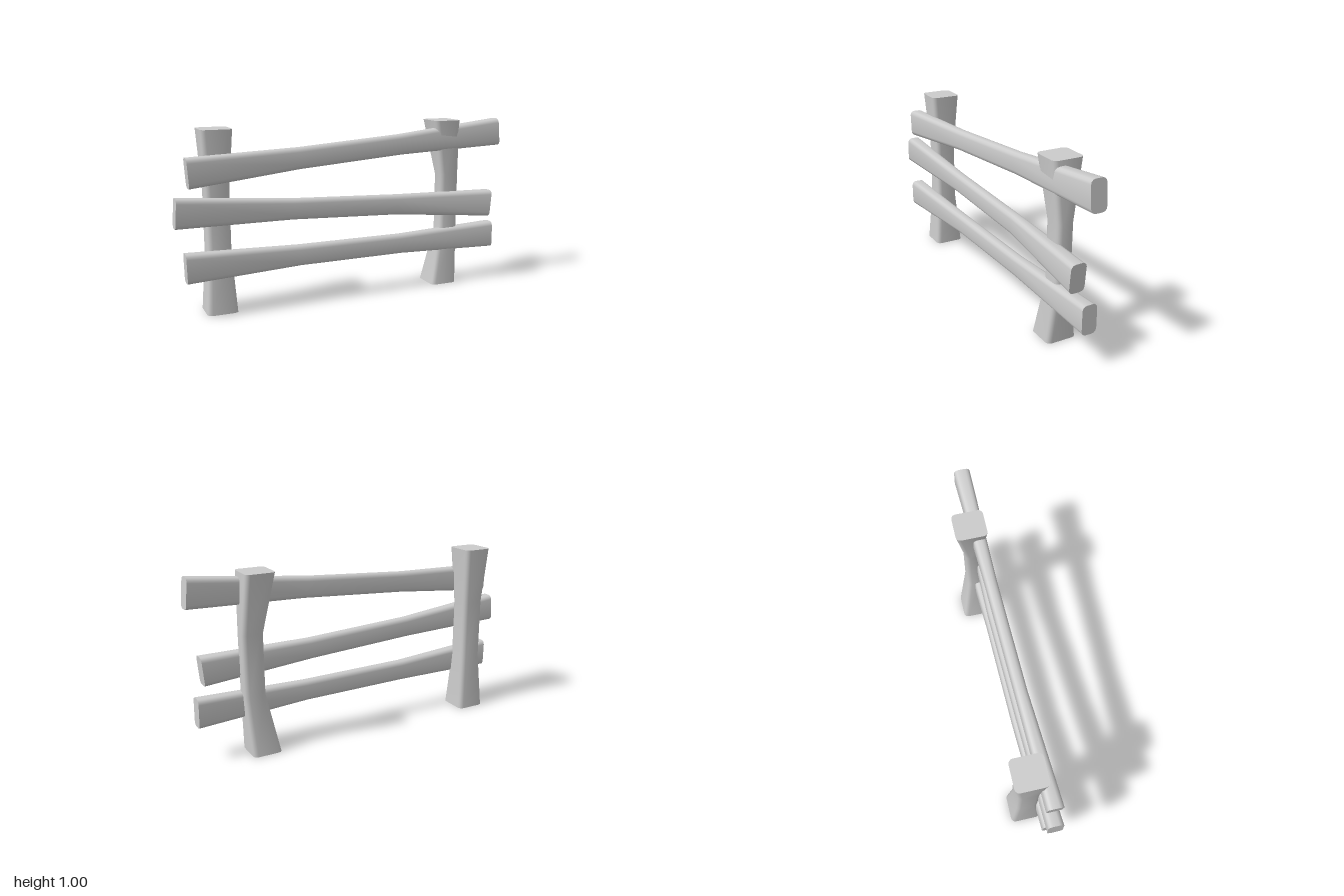
import * as THREE from 'three';
import { toCreasedNormals } from 'three/addons/utils/BufferGeometryUtils.js';

const RADIUS = 0.025; // rounding of the long edges
const CORNER_STEPS = 3;

// Rounded rectangle ring, counter-clockwise in the (u, v) plane
function ring(halfU, halfV) {
  const r = Math.min(RADIUS, halfU * 0.9, halfV * 0.9);
  const points = [];
  for (let corner = 0; corner < 4; corner++) {
    const su = corner === 0 || corner === 3 ? 1 : -1;
    const sv = corner < 2 ? 1 : -1;
    for (let k = 0; k <= CORNER_STEPS; k++) {
      const a = (corner + k / CORNER_STEPS) * Math.PI / 2;
      points.push([su * (halfU - r) + r * Math.cos(a), sv * (halfV - r) + r * Math.sin(a)]);
    }
  }
  return points;
}

// Capped loft through sections { centre, u, v, halfU, halfV }, with u x v along the beam
function beam(name, sections) {
  const positions = [], index = [];
  const n = 4 * (CORNER_STEPS + 1);
  for (const { centre, u, v, halfU, halfV } of sections) {
    for (const [a, b] of ring(halfU, halfV)) {
      positions.push(...centre.clone().addScaledVector(u, a).addScaledVector(v, b).toArray());
    }
  }
  const last = (sections.length - 1) * n;
  for (let i = 0; i < last; i += n) {
    for (let j = 0; j < n; j++) {
      const k = (j + 1) % n;
      index.push(i + j, i + k, i + n + k, i + j, i + n + k, i + n + j);
    }
  }
  for (let j = 1; j < n - 1; j++) {
    index.push(0, j + 1, j, last, last + j, last + j + 1);
  }
  const geometry = new THREE.BufferGeometry();
  geometry.setAttribute('position', new THREE.Float32BufferAttribute(positions, 3));
  geometry.setIndex(index);
  const mesh = new THREE.Mesh(
    toCreasedNormals(geometry, 0.6),
    new THREE.MeshStandardMaterial({ color: 0xcccccc })
  );
  mesh.name = name;
  return mesh;
}

// Post: rows of [y, x0, x1, z0, z1] from the ground up
function post(name, rows) {
  return beam(name, rows.map(([y, x0, x1, z0, z1]) => ({
    centre: new THREE.Vector3((x0 + x1) / 2, y, (z0 + z1) / 2),
    u: new THREE.Vector3(0, 0, 1), v: new THREE.Vector3(1, 0, 0),
    halfU: (z1 - z0) / 2, halfV: (x1 - x0) / 2,
  })));
}

// Rail: rows of [top x, top y, bottom x, bottom y, z0, z1] from right to left end
function rail(name, rows) {
  return beam(name, rows.map(([tx, ty, bx, by, z0, z1]) => {
    const up = new THREE.Vector3(tx - bx, ty - by, 0);
    return {
      centre: new THREE.Vector3((tx + bx) / 2, (ty + by) / 2, (z0 + z1) / 2),
      halfU: up.length() / 2, halfV: (z1 - z0) / 2,
      u: up.normalize(), v: new THREE.Vector3(0, 0, 1),
    };
  }));
}

export function createModel() {
  const group = new THREE.Group();
  group.name = 'fence';

  // Two posts, thick at both ends and narrow in the middle
  const rightEnd = [-0.84, -0.67, -0.115, 0.06];
  const rightWaist = [-0.82, -0.69, -0.09, 0.035];
  const leftEnd = [0.54, 0.705, -0.115, 0.06];
  const leftWaist = [0.6, 0.72, -0.065, 0.03];
  for (const [name, end, waist] of [['rightPost', rightEnd, rightWaist], ['leftPost', leftEnd, leftWaist]]) {
    group.add(post(name, [[0, ...end], [0.33, ...waist], [0.67, ...waist], [1, ...end]]));
  }

  // Three crooked rails across the front
  group.add(rail('topRail', [
    [-0.93, 0.865, -0.92, 0.705, 0.03, 0.115],
    [-0.31, 0.887, -0.3, 0.768, 0.01, 0.075],
    [0.31, 0.93, 0.33, 0.812, -0.01, 0.055],
    [0.98, 1.0, 0.995, 0.838, -0.04, 0.048],
  ]));
  group.add(rail('middleRail', [
    [-0.99, 0.662, -1.0, 0.502, 0.03, 0.115],
    [-0.34, 0.607, -0.35, 0.49, 0.01, 0.075],
    [0.3, 0.578, 0.29, 0.46, -0.005, 0.06],
    [0.925, 0.565, 0.912, 0.405, 0.002, 0.09],
  ]));
  group.add(rail('bottomRail', [
    [-0.953, 0.366, -0.95, 0.204, 0.03, 0.115],
    [-0.31, 0.34, -0.31, 0.222, 0.003, 0.07],
    [0.33, 0.337, 0.33, 0.22, -0.01, 0.055],
    [0.967, 0.356, 0.97, 0.195, -0.04, 0.045],
  ]));
  return group;
}
